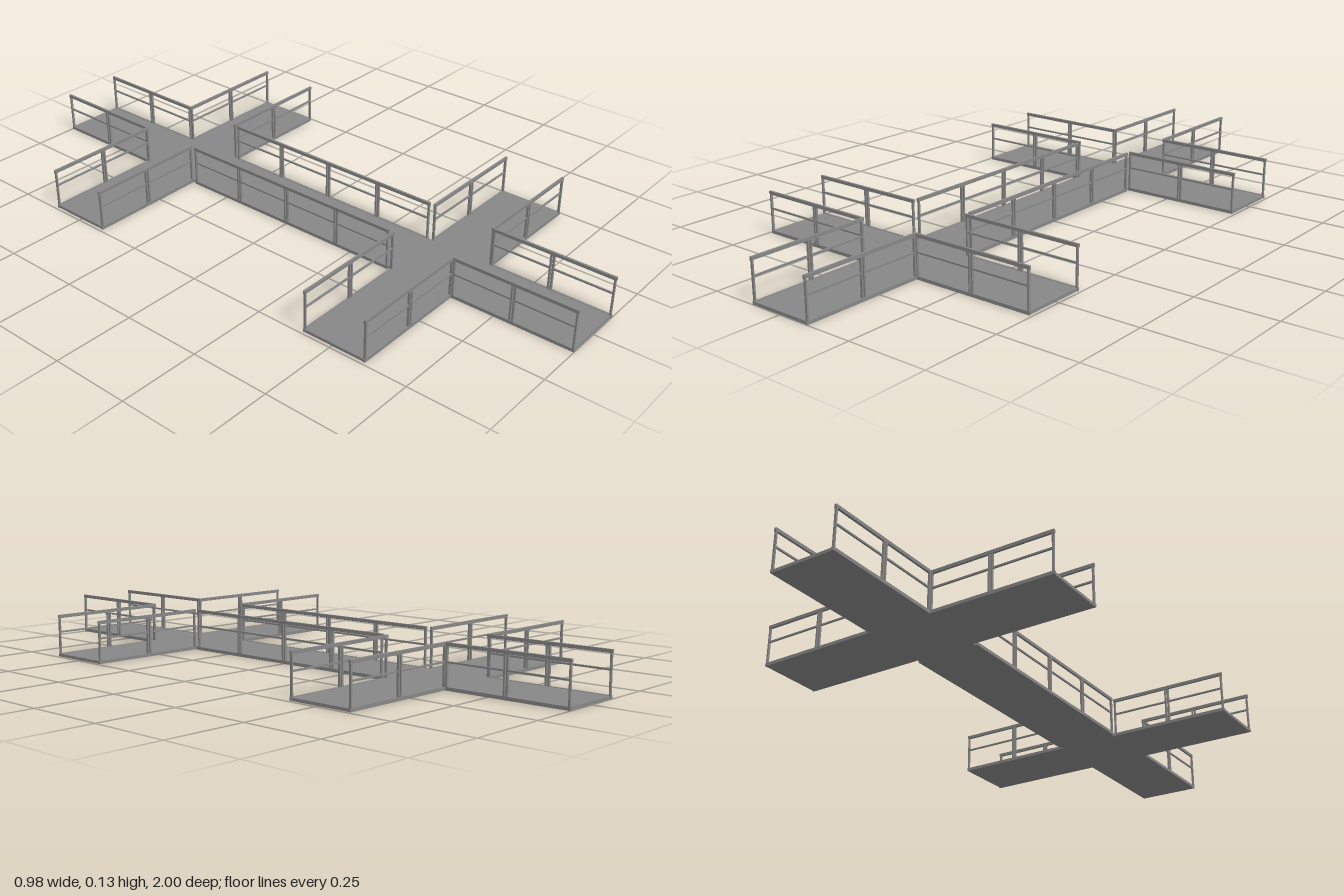
import * as THREE from 'three';

const material = new THREE.MeshStandardMaterial({ color: 0x878787 });
const HEIGHT = 0.132; // top of the handrail
const RAIL = 0.01;    // handrail and kerb height
const DEPTH = 0.007;  // thickness of a railing, seen from above
const THIN = 0.005;   // post and middle rail section

function box(name, w, h, d, x, y, z) {
  const mesh = new THREE.Mesh(new THREE.BoxGeometry(w, h, d), material);
  mesh.name = name;
  mesh.position.set(x, y, z);
  return mesh;
}

// A straight railing along local x, made of equal framed panels
function railing(name, length, panels) {
  const group = new THREE.Group();
  group.name = name;
  group.add(box('handrail', length, RAIL, DEPTH, 0, HEIGHT - RAIL / 2, 0));
  group.add(box('kerb', length, RAIL, DEPTH, 0, RAIL / 2, 0));
  const step = length / panels;
  const postHeight = HEIGHT - 2 * RAIL;
  for (let i = 0; i < panels; i++) {
    const cx = -length / 2 + (i + 0.5) * step;
    const postX = step / 2 - 0.0045;
    for (const s of [-1, 1]) {
      group.add(box('post', THIN, postHeight, DEPTH, cx + s * postX, HEIGHT / 2, 0));
    }
    group.add(box('middleRail', 2 * postX - THIN, THIN, THIN, cx, 0.078, 0));
  }
  return group;
}

// Deck outline: a long spine crossed by two wide arms
function deck() {
  const half = [
    [0.098, -0.998], [0.098, -0.608], [0.49, -0.608], [0.49, -0.406], [0.098, -0.406],
    [0.098, 0.406], [0.49, 0.406], [0.49, 0.608], [0.098, 0.608], [0.098, 0.998],
  ];
  const mirrored = half.map(([x, z]) => [-x, z]).reverse();
  const shape = new THREE.Shape([...half, ...mirrored].map(([x, z]) => new THREE.Vector2(x, z)));
  const geometry = new THREE.ExtrudeGeometry(shape, { depth: RAIL - 0.001, bevelEnabled: false });
  geometry.rotateX(-Math.PI / 2);
  const mesh = new THREE.Mesh(geometry, material);
  mesh.name = 'deck';
  return mesh;
}

export function createModel() {
  const model = new THREE.Group();
  model.name = 'walkway';
  model.add(deck());

  for (const sx of [-1, 1]) {
    // Railings along the spine, between the arms
    const middle = railing('middleRailing', 0.78, 4);
    middle.rotation.y = Math.PI / 2;
    middle.position.x = sx * 0.1;
    model.add(middle);

    for (const sz of [-1, 1]) {
      // Railings along the spine, beyond the arms
      const end = railing('endRailing', 0.39, 2);
      end.rotation.y = Math.PI / 2;
      end.position.set(sx * 0.1, 0, sz * 0.805);
      model.add(end);

      // Railings along both sides of each arm
      for (const z of [0.405, 0.608]) {
        const arm = railing('armRailing', 0.392, 2);
        arm.position.set(sx * 0.2955, 0, sz * z);
        model.add(arm);
      }
    }
  }
  return model;
}
